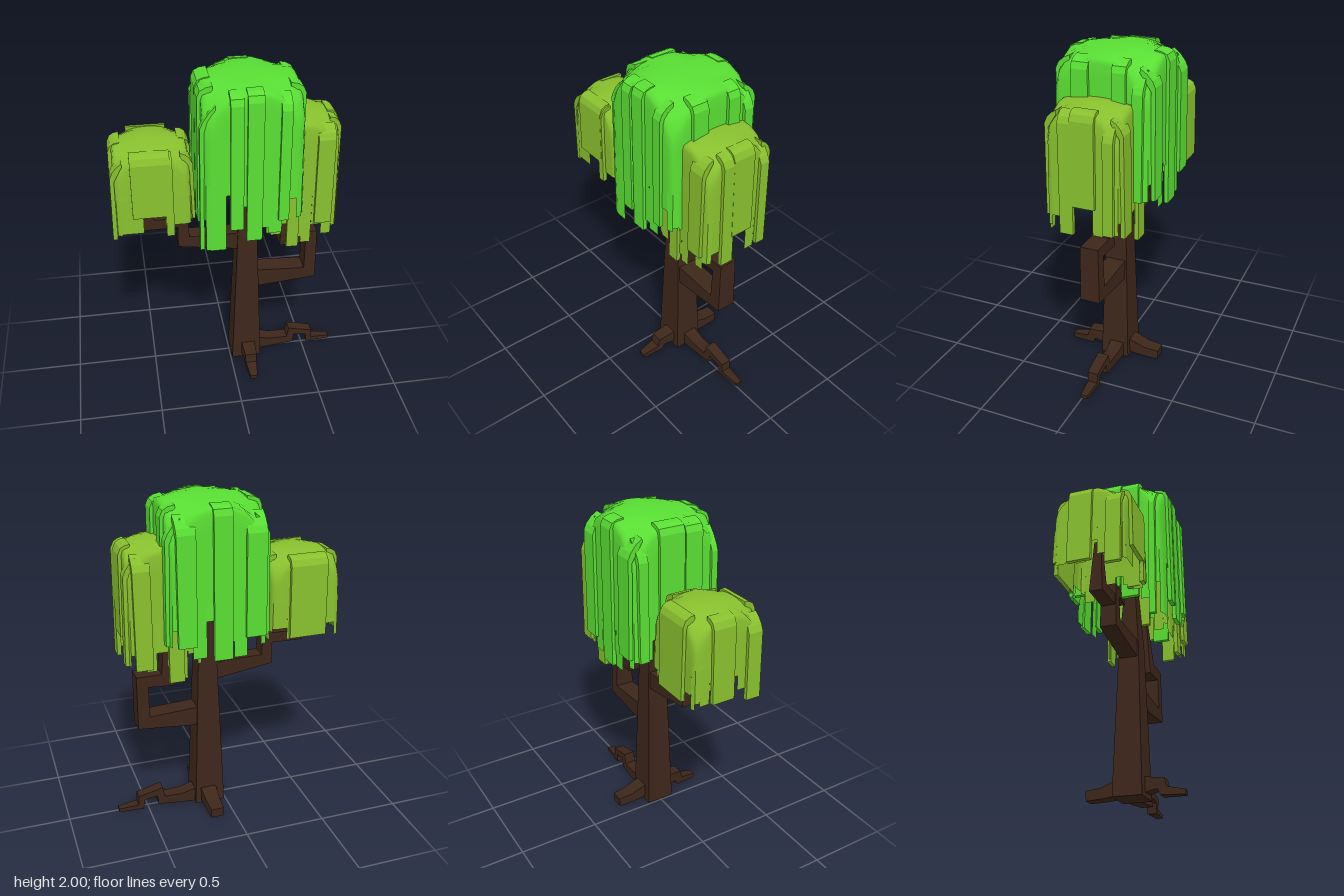
import * as THREE from 'three';

const bark = new THREE.MeshStandardMaterial({ color: 0x3d261a, flatShading: true });
const brightLeaf = new THREE.MeshStandardMaterial({ color: 0x59de33, side: THREE.DoubleSide });
const oliveLeaf = new THREE.MeshStandardMaterial({ color: 0x88c02e, side: THREE.DoubleSide });

function buildGeometry(positions, index) {
  const geo = new THREE.BufferGeometry();
  geo.setAttribute('position', new THREE.Float32BufferAttribute(positions, 3));
  geo.setIndex(index);
  geo.computeVertexNormals();
  return geo;
}

// Mitred square beam along a path of [x, y, thickness, depth]
function beam(name, path) {
  const pos = [], idx = [];
  const dir = (a, b) => new THREE.Vector2(b[0] - a[0], b[1] - a[1]).normalize();
  path.forEach((p, i) => {
    const before = dir(path[Math.max(i - 1, 0)], path[Math.max(i, 1)]);
    const last = path.length - 1;
    const after = dir(path[Math.min(i, last - 1)], path[Math.min(i + 1, last)]);
    const t = before.clone().add(after).normalize();
    const half = p[2] / 2 / Math.max(t.dot(before), 0.6);
    for (const [n, b] of [[1, 1], [-1, 1], [-1, -1], [1, -1]])
      pos.push(p[0] - t.y * n * half, p[1] + t.x * n * half, b * p[3] / 2);
    if (i > 0) for (let k = 0; k < 4; k++) {
      const a = (i - 1) * 4 + k, c = (i - 1) * 4 + (k + 1) % 4;
      idx.push(a, c, c + 4, a, c + 4, a + 4);
    }
  });
  const e = (path.length - 1) * 4;
  idx.push(0, 2, 1, 0, 3, 2, e, e + 1, e + 2, e, e + 2, e + 3);
  const mesh = new THREE.Mesh(buildGeometry(pos, idx), bark);
  mesh.name = name;
  return mesh;
}

// Leaf clump: domed cap, square skirt with hanging strips, and raised slats over the rim.
// Sides run front, +x, back, -x; strips holds 8 bottom heights per side.
function canopy(name, material, o) {
  const group = new THREE.Group();
  group.name = name;
  const capY = (u, v) => o.top - 0.028 * (u * u + v * v) - o.corner * Math.abs(u * v) ** 3;

  // Unit outline with softened corners
  const outline = [];
  for (let s = 0; s < 4; s++) {
    const c = Math.round(Math.cos(s * Math.PI / 2)), n = Math.round(Math.sin(s * Math.PI / 2));
    const side = Array.from({ length: 7 }, (_, i) => [-0.84 + i * 0.28, 1]);
    side.push([0.955, 0.955]);
    for (const [u, v] of side) outline.push([u * c + v * n, v * c - u * n]);
  }
  const count = outline.length;
  const at = (k, r, y) => [outline[k % count][0] * r * o.hx, y, outline[k % count][1] * r * o.hz];

  // Cap and upper skirt
  const pos = [0, o.top, 0], idx = [];
  const rings = [0.3, 0.55, 0.75, 0.88, 0.96, 1, 1.005, 1.02];
  rings.forEach((r, j) => {
    for (let k = 0; k < count; k++) {
      const [u, v] = outline[k];
      let y = capY(u * Math.min(r, 1), v * Math.min(r, 1));
      if (r === 1) y -= 0.025;
      if (r === 1.005) y -= 0.1;
      if (r === 1.02) y = o.base;
      pos.push(...at(k, r, y));
      const next = (k + 1) % count, a = 1 + j * count;
      if (j === 0) idx.push(0, a + k, a + next);
      else idx.push(a - count + k, a + k, a + next, a - count + k, a + next, a - count + next);
    }
  });
  const dome = new THREE.Mesh(buildGeometry(pos, idx), material);
  dome.name = 'leafDome';

  // Hanging strips with stepped ends
  const sPos = [], sIdx = [];
  o.strips.flat().forEach((bottom, k) => {
    const a = sPos.length / 3;
    sPos.push(...at(k, 1.02, o.base), ...at(k, 1.035, bottom),
      ...at(k + 1, 1.035, bottom), ...at(k + 1, 1.02, o.base));
    sIdx.push(a, a + 1, a + 2, a, a + 2, a + 3);
  });
  const fringe = new THREE.Mesh(buildGeometry(sPos, sIdx), material);
  fringe.name = 'hangingStrips';
  group.add(dome, fringe);

  // Raised slats: [side, centre along side, width, bottom]
  for (const [s, t, width, bottom] of o.slats) {
    const H = s % 2 ? o.hx : o.hz, W = s % 2 ? o.hz : o.hx;
    const rim = capY(1, t);
    const profile = [[H * 0.76, capY(0.76, t) - 0.02], [H * 0.985, rim - 0.06], [H * 1.01, bottom],
      [H + 0.028, bottom], [H + 0.02, rim - 0.04], [H + 0.004, rim - 0.004],
      [H * 0.9, capY(0.9, t) + 0.006], [H * 0.76, capY(0.76, t) + 0.004]];
    const geo = new THREE.ExtrudeGeometry(new THREE.Shape(profile.map(p => new THREE.Vector2(...p))),
      { depth: width, bevelEnabled: false });
    geo.translate(0, 0, -t * W - width / 2);
    geo.rotateY((s - 1) * Math.PI / 2);
    const slat = new THREE.Mesh(geo, material);
    slat.name = 'leafSlat';
    group.add(slat);
  }
  group.position.set(o.x, 0, o.z);
  return group;
}

export function createModel() {
  const tree = new THREE.Group();
  tree.name = 'tree';

  // Trunk and branches
  tree.add(
    beam('trunk', [[0.105, 0, 0.19, 0.18], [0.105, 0.95, 0.12, 0.125], [0.105, 1.5, 0.05, 0.05]]),
    beam('leftBranch', [[0.12, 0.62, 0.13, 0.12], [0.51, 0.63, 0.075, 0.12], [0.51, 0.9, 0.07, 0.11],
      [0.35, 0.895, 0.08, 0.11], [0.345, 1.25, 0.03, 0.05]]),
    beam('rightBranch', [[0.1, 0.91, 0.12, 0.11], [-0.285, 0.94, 0.07, 0.1], [-0.285, 1.15, 0.06, 0.09],
      [-0.17, 1.15, 0.06, 0.08], [-0.165, 1.42, 0.03, 0.04]]),
    beam('rightBranchFork', [[-0.27, 1.075, 0.065, 0.085], [-0.49, 1.07, 0.065, 0.08], [-0.49, 1.36, 0.03, 0.04]]),
  );

  // Roots
  const frontRoot = beam('frontRoot', [[0.05, 0.07, 0.1, 0.09], [0.18, 0.075, 0.06, 0.075],
    [0.195, 0.03, 0.05, 0.07], [0.32, 0.018, 0.03, 0.045]]);
  const backRoot = beam('backRoot', [[0.05, 0.07, 0.1, 0.1], [0.18, 0.04, 0.065, 0.09], [0.275, 0.033, 0.06, 0.08]]);
  for (const [root, turn] of [[frontRoot, -1], [backRoot, 1]]) {
    root.position.x = 0.115;
    root.rotation.y = turn * Math.PI / 2;
  }
  const sideRoot = beam('leftRoot', [[0.1, 0.06, 0.12, 0.1], [0.28, 0.04, 0.065, 0.08], [0.415, 0.048, 0.05, 0.075],
    [0.425, 0.112, 0.045, 0.07], [0.545, 0.086, 0.04, 0.065], [0.55, 0.022, 0.035, 0.06], [0.69, 0.018, 0.022, 0.04]]);
  sideRoot.position.z = -0.015;
  tree.add(frontRoot, backRoot, sideRoot);

  // Leaf clumps
  tree.add(canopy('middleCanopy', brightLeaf, {
    x: 0.1, z: -0.005, hx: 0.28, hz: 0.283, top: 2, corner: 0.22, base: 1.45,
    strips: [
      [1.02, 1.38, 1.3, 1.15, 1.11, 1.33, 1.2, 1.22],
      [1.2, 1.1, 1.28, 1.36, 1.16, 1.24, 1.2, 1.3],
      [1.25, 1.12, 1.34, 1.2, 1.1, 1.3, 1.16, 1.2],
      [1.2, 1.32, 1.15, 1.24, 1.36, 1.12, 1.22, 1.02],
    ],
    slats: [[0, -0.36, 0.075, 1.16], [0, 0.0, 0.09, 1.08], [0, 0.6, 0.06, 1.2],
      [1, -0.4, 0.1, 1.1], [1, 0.4, 0.08, 1.2], [1, 0.78, 0.06, 1.2],
      [2, -0.7, 0.11, 1.2], [2, 0.05, 0.11, 1.1], [2, 0.75, 0.12, 1.22],
      [3, -0.8, 0.06, 1.2], [3, -0.15, 0.16, 1.22], [3, 0.35, 0.11, 1.14], [3, 0.84, 0.04, 1.01]],
  }));
  tree.add(canopy('rightCanopy', oliveLeaf, {
    x: -0.463, z: 0.005, hx: 0.212, hz: 0.21, top: 1.645, corner: 0.15, base: 1.36,
    strips: [
      [1.14, 1.14, 1.28, 1.25, 1.18, 1.18, 1.18, 1.2],
      [1.16, 1.2, 1.26, 1.14, 1.2, 1.12, 1.18, 1.2],
      [1.2, 1.13, 1.22, 1.28, 1.15, 1.2, 1.12, 1.16],
      [1.14, 1.22, 1.13, 1.26, 1.17, 1.24, 1.12, 1.13],
    ],
    slats: [[0, -0.05, 0.22, 1.25], [0, 0.42, 0.045, 1.12], [1, -0.6, 0.08, 1.18], [1, 0.25, 0.13, 1.18],
      [2, 0.03, 0.23, 1.14], [3, -0.2, 0.14, 1.14], [3, 0.75, 0.09, 1.1]],
  }));
  tree.add(canopy('leftCanopy', oliveLeaf, {
    x: 0.392, z: 0.005, hx: 0.208, hz: 0.21, top: 1.77, corner: 0.18, base: 1.36,
    strips: [
      [1.05, 1.12, 1.02, 0.98, 1.1, 1.03, 1.08, 1.08],
      [1.14, 1.05, 1.23, 1.23, 1.06, 1.08, 1.08, 1.15],
      [1.12, 1.04, 1.15, 1.06, 0.97, 1.12, 1.05, 1.1],
      [1.1, 1.2, 1.06, 1.14, 1.22, 1.08, 1.12, 1.06],
    ],
    slats: [[0, -0.25, 0.07, 0.97], [0, 0.6, 0.1, 1.12], [1, -0.42, 0.08, 1.05], [1, 0.05, 0.14, 1.22],
      [1, 0.75, 0.06, 1.08], [2, -0.65, 0.1, 1.06], [2, 0.25, 0.09, 0.96], [3, 0.1, 0.15, 1.12]],
  }));
  return tree;
}
